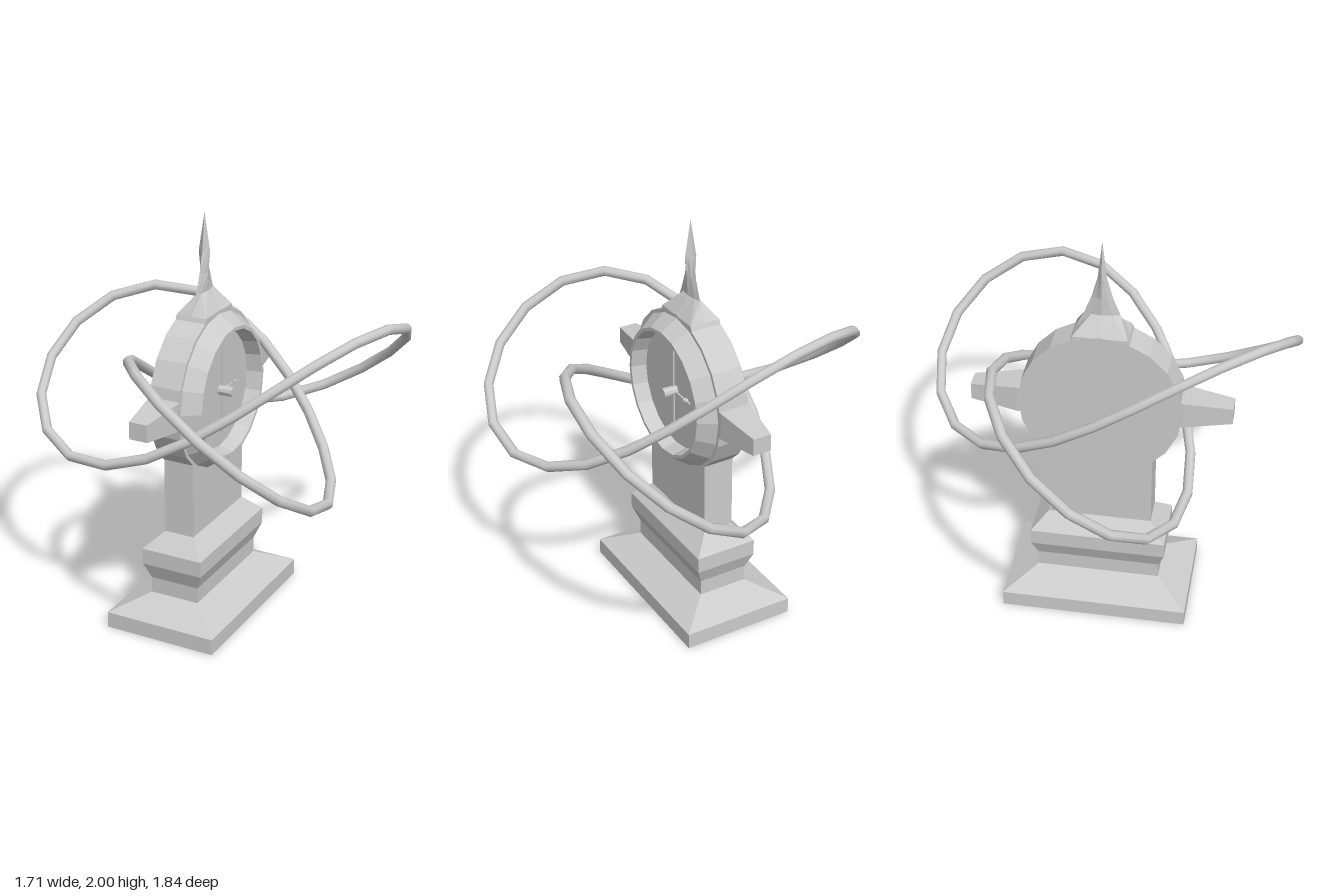
import * as THREE from 'three';

const CX = 0.023, CLOCK_Y = 1.15;
const flat = new THREE.MeshStandardMaterial({ color: 0xcccccc, flatShading: true });
const smooth = new THREE.MeshStandardMaterial({ color: 0xcccccc });

// Stacks rings given as [y, halfX, halfZ, corner]; corner 1 = rectangle, 0.5 = diamond
function loft(rings) {
  const pos = [], idx = [], n = 8;
  const unit = [[1, 0], [1, 1], [0, 1], [-1, 1], [-1, 0], [-1, -1], [0, -1], [1, -1]];
  for (const [y, hx, hz, f = 1] of rings) {
    unit.forEach(([x, z], i) => {
      const k = i % 2 ? f : 1;
      pos.push(x * hx * k, y, z * hz * k);
    });
  }
  const last = rings.length - 1, bottom = pos.length / 3, top = bottom + 1;
  pos.push(0, rings[0][0], 0, 0, rings[last][0], 0);
  for (let i = 0; i < n; i++) {
    const j = (i + 1) % n;
    for (let r = 0; r < last; r++) {
      const a = r * n + i, b = r * n + j;
      idx.push(a, a + n, b, b, a + n, b + n);
    }
    idx.push(bottom, i, j, top, last * n + j, last * n + i);
  }
  const g = new THREE.BufferGeometry();
  g.setAttribute('position', new THREE.Float32BufferAttribute(pos, 3));
  g.setIndex(idx);
  g.computeVertexNormals();
  return g;
}

// Three-lobed knot lying around the clock
class KnotCurve extends THREE.Curve {
  getPoint(u, target = new THREE.Vector3()) {
    const t = u * Math.PI * 2, R = 0.67, a = 0.465;
    return target.set(
      0.14 - R * (Math.cos(2 * t) + a * Math.cos(t)),
      1.155 + 0.31 * (Math.sin(3 * t) - 0.06 * Math.sin(6 * t)),
      -0.005 - R * (Math.sin(2 * t) - a * Math.sin(t)));
  }
}

export function createModel() {
  const model = new THREE.Group();
  function add(name, geometry, x = 0, y = 0, z = 0, material = flat) {
    const mesh = new THREE.Mesh(geometry, material);
    mesh.name = name;
    mesh.position.set(x, y, z);
    model.add(mesh);
    return mesh;
  }

  // Stepped pedestal and column
  add('pedestal', loft([
    [0, 0.285, 0.463], [0.08, 0.285, 0.463], [0.16, 0.125, 0.307], [0.24, 0.125, 0.307],
    [0.32, 0.157, 0.337], [0.4, 0.157, 0.337], [0.48, 0.077, 0.257], [1.0, 0.077, 0.257]
  ]), CX);

  // Clock drum with sloping bezel and recessed dial, facing +x
  const profile = [[0, -0.055], [0.395, -0.055], [0.395, 0.1], [0.378, 0.1], [0.322, 0.18],
    [0.305, 0.18], [0.29, 0.105], [0, 0.105]].map(p => new THREE.Vector2(...p));
  add('clockDrum', new THREE.LatheGeometry(profile, 20).rotateZ(-Math.PI / 2), 0, CLOCK_Y);

  // Tapered side lugs
  for (const s of [1, -1]) {
    const lug = loft([[0.3, 0.077, 0.068], [0.4, 0.077, 0.068], [0.63, 0.046, 0.042]]);
    add(s > 0 ? 'leftLug' : 'rightLug', lug.rotateX(s * Math.PI / 2), CX, CLOCK_Y);
  }

  // Pinched spire
  add('spire', loft([
    [1.46, 0.077, 0.16, 1], [1.54, 0.077, 0.13, 1], [1.63, 0.016, 0.085, 0.6],
    [1.72, 0.02, 0.05, 0.5], [1.82, 0.03, 0.022, 0.5], [2, 0.001, 0.001, 0.5]
  ]), CX);

  // Hands with arrow tips, and the hub
  const hand = (name, y, z, length, turn) => {
    const g = new THREE.Group();
    g.name = name;
    const bar = new THREE.Mesh(new THREE.BoxGeometry(0.008, length, 0.008), flat);
    bar.position.y = length / 2;
    const tip = new THREE.Mesh(new THREE.ConeGeometry(0.014, 0.04, 6), flat);
    tip.position.y = length - 0.02;
    g.add(bar, tip);
    g.position.set(0.118, y, z);
    g.rotation.x = turn;
    model.add(g);
  };
  hand('minuteHand', CLOCK_Y, 0, 0.31, 0);
  hand('minuteHandTail', CLOCK_Y, 0, 0.22, Math.PI);
  hand('hourHand', CLOCK_Y, 0, 0.15, -Math.PI / 2);
  add('hub', new THREE.CylinderGeometry(0.024, 0.024, 0.075, 10).rotateZ(Math.PI / 2), 0.14, CLOCK_Y);

  // Orbiting knot ring
  add('knotRing', new THREE.TubeGeometry(new KnotCurve(), 42, 0.025, 8, true), 0, 0, 0, smooth);
  return model;
}
